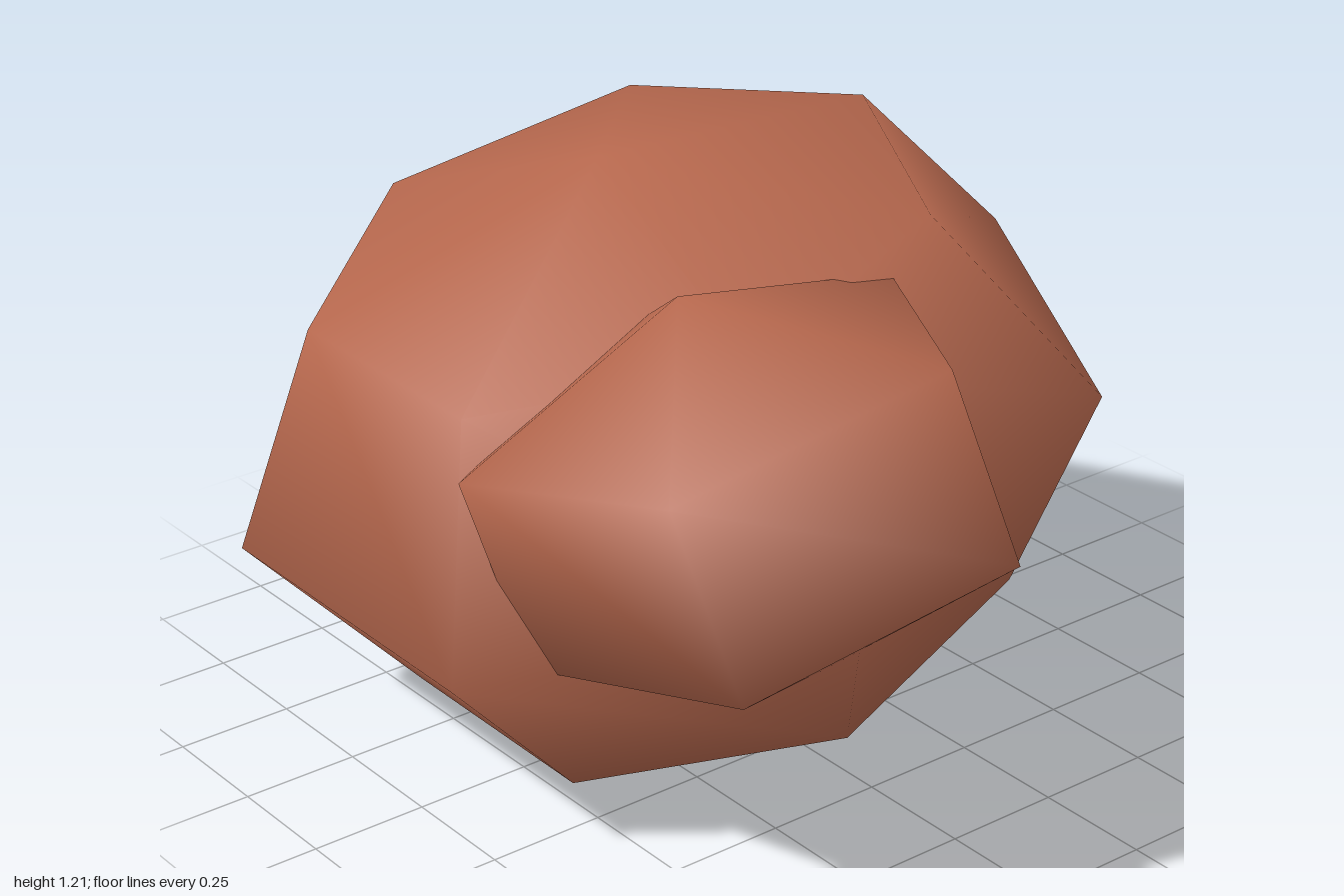
import * as THREE from 'three';

const material = new THREE.MeshStandardMaterial({ color: 0xb5674d });

// A coarse smooth-shaded sphere stretched and tilted onto three half-axes:
// pole (up), spoke (towards the first side corner) and side (across it).
function makeLump(name, sides, rings, centre, pole, spoke, side) {
  const x = new THREE.Vector3(...spoke).negate();
  const y = new THREE.Vector3(...pole);
  const z = new THREE.Vector3(...side);
  const matrix = new THREE.Matrix4().makeBasis(x, y, z);
  // keep the faces turned outwards
  if (matrix.determinant() < 0) matrix.makeBasis(x, y, z.negate());

  const geometry = new THREE.SphereGeometry(1, sides, rings);
  geometry.applyMatrix4(matrix);
  const mesh = new THREE.Mesh(geometry, material);
  mesh.name = name;
  mesh.position.set(...centre);
  return mesh;
}

export function createModel() {
  const group = new THREE.Group();
  group.name = 'rock';

  // Main boulder, tipped forwards
  group.add(makeLump('mainBoulder', 7, 4,
    [-0.11, 0.605, 0.04], [-0.02, 0.605, 0.155], [0.02, 0.225, -0.88], [0.908, 0.026, 0.032]));

  // Smaller boulder sunk into the front left
  group.add(makeLump('smallBoulder', 5, 3,
    [0.515, 0.78, 0.335], [-0.115, 0.37, 0.075], [0.368, -0.009, 0.406], [-0.42, -0.188, 0.36]));

  return group;
}
